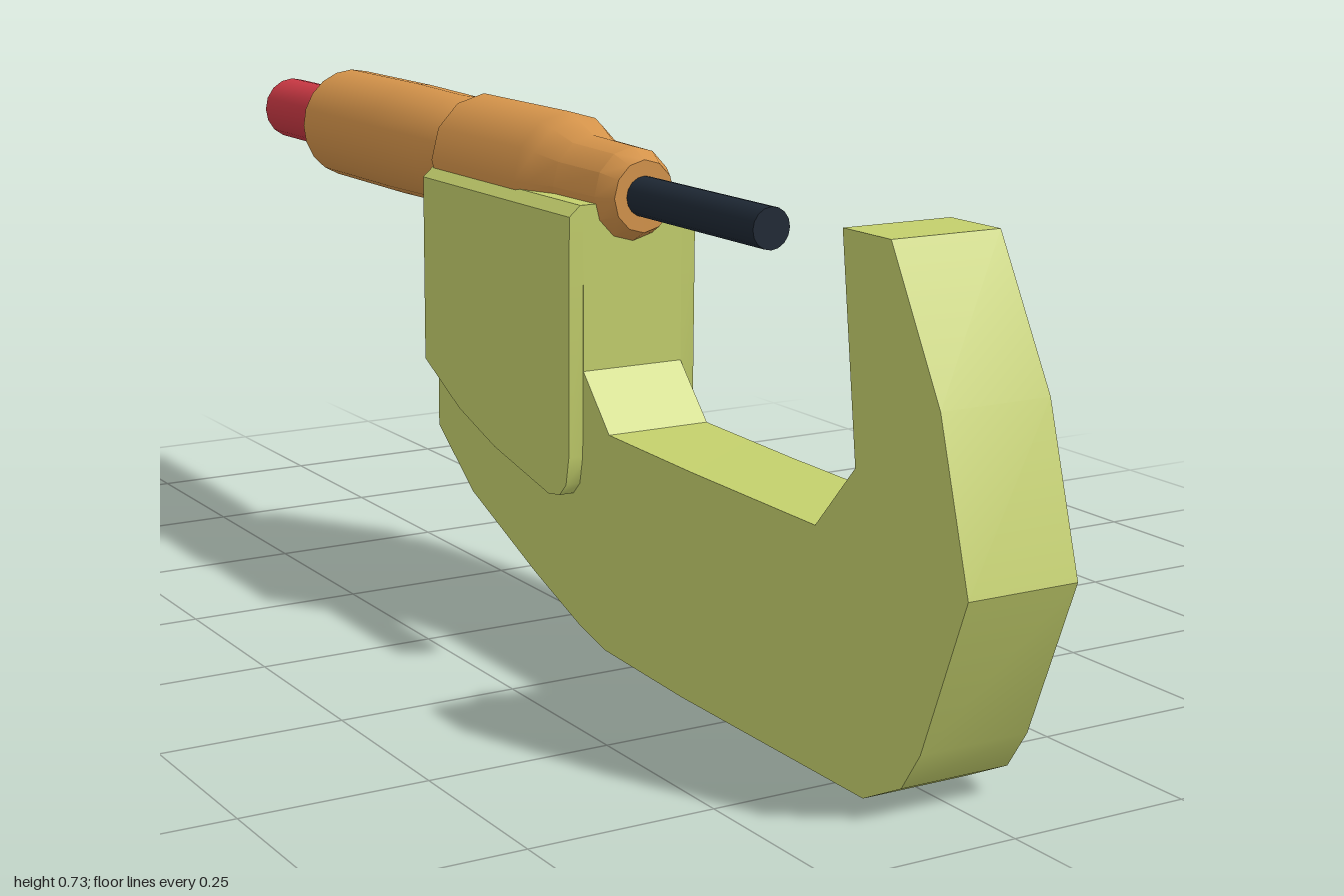
import * as THREE from 'three';
import { toCreasedNormals } from 'three/addons/utils/BufferGeometryUtils.js';

const material = (color) => new THREE.MeshStandardMaterial({ color });
const AXIS_Y = 0.635;

export function createModel() {
  const model = new THREE.Group();
  const green = material(0xc3cf6c);
  const orange = material(0xd4934a);
  const red = material(0xc93843);
  const dark = material(0x1e2834);

  const add = (name, geometry, mat) => {
    const mesh = new THREE.Mesh(toCreasedNormals(geometry, 0.6), mat);
    mesh.name = name;
    model.add(mesh);
    return mesh;
  };

  // Side outline given as [z, y], extruded across x from x0 to x1
  const slab = (name, outline, x0, x1, hole) => {
    const toPoints = (list) => list.map(([z, y]) => new THREE.Vector2(-z, y));
    const shape = new THREE.Shape(toPoints(outline));
    if (hole) shape.holes.push(new THREE.Path(toPoints(hole)));
    const geometry = new THREE.ExtrudeGeometry(shape, { depth: x1 - x0, bevelEnabled: false });
    geometry.rotateY(Math.PI / 2).translate(x0, 0, 0);
    return add(name, geometry, green);
  };

  // Turned part: profile [radius, z] from back to front
  const turned = (name, profile, mat, sides = 16) => {
    const points = profile.map(([r, z]) => new THREE.Vector2(r, z));
    const geometry = new THREE.LatheGeometry(points, sides);
    geometry.rotateX(Math.PI / 2).translate(0, AXIS_Y, 0);
    return add(name, geometry, mat);
  };
  const rod = (name, r, z0, z1, mat) => turned(name, [[0, z0], [r, z0], [r, z1], [0, z1]], mat);

  // C-shaped frame
  slab('frame', [
    [0.84, 0.68], [0.745, 0.68], [0.78, 0.4], [0.7, 0.312], [0.42, 0.315], [0.21, 0.32],
    [0.14, 0.395], [0.14, 0.622], [-0.3, 0.622], [-0.3, 0.23], [-0.19, 0.15], [0, 0.075],
    [0.13, 0.03], [0.2, 0.013], [0.4, 0.005], [0.81, 0.001], [0.885, 0.038], [0.92, 0.09],
    [1, 0.295], [0.94, 0.5],
  ], -0.078, 0.078);

  // Raised grip panels, the left one with a shallow window
  const panel = [
    [0.14, 0.61], [-0.3, 0.61], [-0.3, 0.335], [-0.19, 0.28], [-0.08, 0.245],
    [0.08, 0.212], [0.112, 0.217], [0.13, 0.235], [0.138, 0.275],
  ];
  const windowOutline = [[0.1, 0.39], [0.095, 0.54], [-0.265, 0.545], [-0.265, 0.4]];
  slab('rightPanel', panel, -0.1, -0.07);
  slab('leftPanel', panel, 0.07, 0.1, windowOutline);
  slab('windowFloor', windowOutline, 0.07, 0.092);

  // Chamfered top edge of the panels
  const chamfer = new THREE.Shape([
    new THREE.Vector2(-0.1, 0.61), new THREE.Vector2(0.1, 0.61),
    new THREE.Vector2(0.083, 0.625), new THREE.Vector2(-0.083, 0.625),
  ]);
  const cap = new THREE.ExtrudeGeometry(chamfer, { depth: 0.44, bevelEnabled: false });
  add('panelCap', cap.translate(0, 0, -0.3), green);

  // Measuring faces
  rod('anvil', 0.028, 0.72, 0.77, green);
  rod('spindle', 0.028, 0.1, 0.48, dark);

  // Sleeve, slightly narrower than it is tall
  turned('sleeve', [
    [0, -0.305], [0.08, -0.305], [0.094, -0.295], [0.094, -0.04], [0.086, -0.015],
    [0.068, 0.03], [0.065, 0.14], [0.05, 0.17], [0, 0.17],
  ], orange, 12).scale.x = 0.94;

  // Thimble with tapered front
  turned('thimble', [
    [0, -0.76], [0.087, -0.76], [0.087, -0.52], [0.084, -0.36], [0.075, -0.3], [0, -0.3],
  ], orange, 20);

  // Ratchet stop
  rod('ratchetNeck', 0.042, -0.84, -0.75, orange);
  rod('ratchetKnob', 0.05, -1, -0.83, red);

  return model;
}
